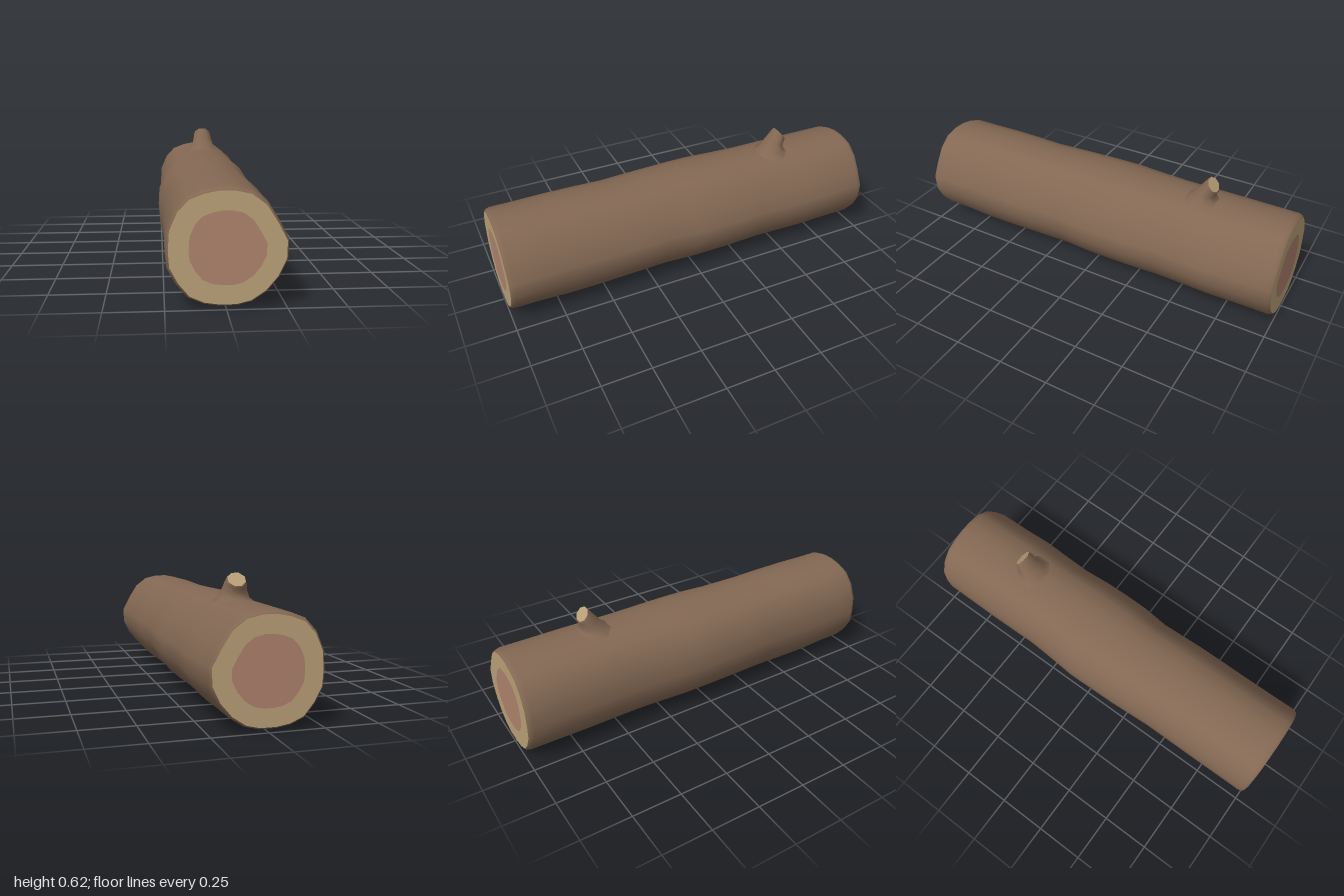
import * as THREE from 'three';

const mat = (color) => new THREE.MeshStandardMaterial({ color, side: THREE.DoubleSide });
const bark = mat(0x836853), sapwood = mat(0xbaa077), heartwood = mat(0xae826d);

// Skin a list of closed rings (equal point counts) with smooth normals
function loft(name, rings, material) {
  const n = rings[0].length, index = [];
  for (let r = 0; r < rings.length - 1; r++) {
    for (let i = 0; i < n; i++) {
      const j = (i + 1) % n;
      const a = r * n + i, b = r * n + j, c = a + n, d = b + n;
      index.push(a, b, c, b, d, c);
    }
  }
  const geo = new THREE.BufferGeometry();
  geo.setAttribute('position', new THREE.Float32BufferAttribute(rings.flat(2), 3));
  geo.setIndex(index);
  geo.computeVertexNormals();
  const mesh = new THREE.Mesh(geo, material);
  mesh.name = name;
  return mesh;
}

// Uneven trunk outline, clockwise from the top, relative to the pith
const CX = 0.005, CY = 0.258;
const OUTLINE = [
  [0.03, 0.49], [0.10, 0.475], [0.16, 0.43], [0.205, 0.36], [0.245, 0.285], [0.243, 0.21],
  [0.21, 0.14], [0.16, 0.08], [0.10, 0.04], [0.04, 0.025], [-0.03, 0.025], [-0.09, 0.034],
  [-0.15, 0.06], [-0.195, 0.115], [-0.23, 0.18], [-0.235, 0.245], [-0.23, 0.33],
  [-0.197, 0.405], [-0.15, 0.455], [-0.09, 0.478], [-0.03, 0.49],
].map(([x, y]) => [x - CX, y - CY]);

// Outline stretched to reach the given left, right, top and bottom limits
function trunkRing(z, xMin, xMax, yMax, yMin) {
  return OUTLINE.map(([x, y]) => [
    CX + (x < 0 ? (x / 0.24) * (CX - xMin) : (x / 0.24) * (xMax - CX)),
    CY + (y > 0 ? (y / 0.232) * (yMax - CY) : (y / 0.233) * (CY - yMin)),
    z,
  ]);
}
const cutRing = (z, s) => OUTLINE.map(([x, y]) => [CX + x * s, CY + y * s, z]);

// Branch ring tilted between a front point and a back point [y, z]
function stubRing([frontY, frontZ], [backY, backZ], rx, sideDrop = 0) {
  const ring = [];
  for (let i = 0; i < 8; i++) {
    const t = ((i + 0.5) / 8) * Math.PI * 2;
    const k = 0.5 - 0.54 * Math.cos(t);
    ring.push([
      0.003 + 1.08 * rx * Math.sin(t),
      frontY + (backY - frontY) * k - sideDrop * Math.sin(t) ** 2,
      frontZ + (backZ - frontZ) * k,
    ]);
  }
  return ring;
}

export function createModel() {
  const group = new THREE.Group();
  group.name = 'log';

  // Bark: z, left, right, top, bottom
  const sections = [
    [0.995, -0.242, 0.250, 0.498, 0.019],
    [0.975, -0.248, 0.255, 0.505, 0.014],
    [0.85, -0.248, 0.254, 0.505, 0.012],
    [0.7, -0.248, 0.253, 0.508, 0.002],
    [0.55, -0.248, 0.254, 0.506, 0.003],
    [0.4, -0.248, 0.254, 0.501, 0.008],
    [0.17, -0.261, 0.246, 0.505, 0.011],
    [0.02, -0.264, 0.262, 0.509, 0.012],
    [-0.1, -0.267, 0.264, 0.509, 0.013],
    [-0.22, -0.257, 0.263, 0.507, 0.014],
    [-0.38, -0.246, 0.253, 0.506, 0.015],
    [-0.52, -0.248, 0.258, 0.505, 0.015],
    [-0.66, -0.250, 0.264, 0.505, 0.014],
    [-0.82, -0.249, 0.257, 0.505, 0.014],
    [-0.975, -0.248, 0.255, 0.505, 0.014],
    [-0.995, -0.242, 0.250, 0.498, 0.019],
  ];
  group.add(loft('bark', [
    cutRing(1, 1), ...sections.map((s) => trunkRing(...s)), cutRing(-1, 1),
  ], bark));

  // Sawn ends: pale outer wood around a darker heart
  const heart = 0.655;
  group.add(loft('frontSapwood', [cutRing(1, heart), cutRing(1, 1)], sapwood));
  group.add(loft('frontHeartwood', [cutRing(1, 0), cutRing(1, heart)], heartwood));
  group.add(loft('backSapwood', [cutRing(-1, 1), cutRing(-1, heart)], sapwood));
  group.add(loft('backHeartwood', [cutRing(-1, heart), cutRing(-1, 0)], heartwood));

  // Branch stub leaning to the back, flared at the root
  const tip = [[0.625, -0.562], [0.569, -0.609], 0.042];
  const stub = new THREE.Group();
  stub.name = 'branchStub';
  stub.add(loft('stubBark', [
    stubRing([0.497, -0.44], [0.497, -0.625], 0.1, 0.012),
    stubRing([0.515, -0.475], [0.51, -0.604], 0.069),
    stubRing([0.57, -0.52], [0.538, -0.598], 0.054),
    stubRing([0.607, -0.546], [0.56, -0.611], 0.048),
    stubRing(...tip),
  ], bark));
  const end = stubRing(...tip);
  stub.add(loft('stubCut', [end, end.map(() => [0.003, 0.597, -0.5855])], sapwood));
  group.add(stub);

  return group;
}
